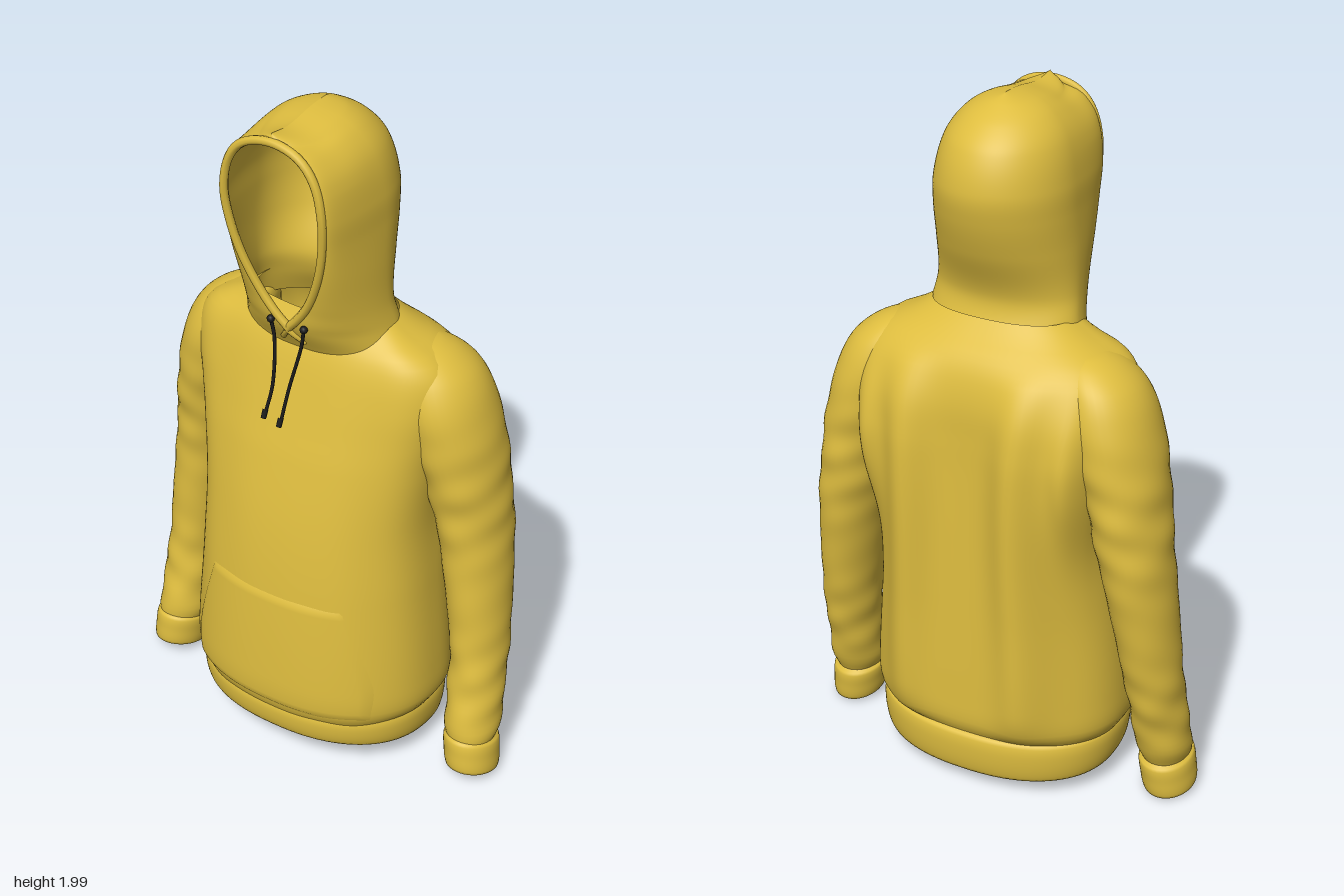
import * as THREE from 'three';

const yellow = new THREE.MeshStandardMaterial({ color: 0xdebd3f, side: THREE.DoubleSide });
yellow.name = 'mustard fabric';
const black = new THREE.MeshStandardMaterial({ color: 0x1b1b1b });
black.name = 'black cord';

// Smooth interpolation through rows [key, a, b, ...] sorted by key
function at(rows, k) {
  let i = 0;
  while (i < rows.length - 2 && k > rows[i + 1][0]) i++;
  const p = rows[i], q = rows[i + 1], h = q[0] - p[0];
  const t = Math.min(1, Math.max(0, (k - p[0]) / h));
  const o = rows[Math.max(0, i - 1)], r = rows[Math.min(rows.length - 1, i + 2)];
  return p.slice(1).map((_, j) => {
    const c = j + 1;
    const m0 = (q[c] - o[c]) / (q[0] - o[0]) * h, m1 = (r[c] - p[c]) / (r[0] - p[0]) * h;
    const t2 = t * t, t3 = t2 * t;
    return (2 * t3 - 3 * t2 + 1) * p[c] + (t3 - 2 * t2 + t) * m0 + (3 * t2 - 2 * t3) * q[c] + (t3 - t2) * m1;
  });
}

// Surface grid from f(u, v) -> [x, y, z]; wrap joins the two u ends, flip reverses the faces
function surface(name, f, nu, nv, wrap, flip) {
  const pos = [], idx = [], cols = wrap ? nu : nu + 1;
  for (let j = 0; j <= nv; j++) for (let i = 0; i < cols; i++) pos.push(...f(i / nu, j / nv));
  for (let j = 0; j < nv; j++) for (let i = 0; i < nu; i++) {
    const a = j * cols + i, b = j * cols + (i + 1) % cols, c = a + cols, d = b + cols;
    if (flip) idx.push(a, b, c, b, d, c);
    else idx.push(a, c, b, b, c, d);
  }
  const g = new THREE.BufferGeometry();
  g.setAttribute('position', new THREE.Float32BufferAttribute(pos, 3));
  g.setIndex(idx);
  g.computeVertexNormals();
  const mesh = new THREE.Mesh(g, yellow);
  mesh.name = name;
  return mesh;
}

function tube(name, points, radius, material) {
  const curve = new THREE.CatmullRomCurve3(points.map(p => new THREE.Vector3(...p)));
  const mesh = new THREE.Mesh(new THREE.TubeGeometry(curve, 80, radius, 8), material);
  mesh.name = name;
  return mesh;
}

const spow = (v, e) => Math.sign(v) * Math.pow(Math.abs(v), e);
const bump = (x, c, w) => Math.exp(-(((x - c) / w) ** 2));

// Torso: height, half width, front z, back depth, depth of the back folds
const TORSO = [
  [0.17, 0.362, 0.29, 0.25, 0], [0.21, 0.384, 0.305, 0.268, 0.02], [0.3, 0.385, 0.308, 0.27, 0.04],
  [0.6, 0.362, 0.287, 0.262, 0.056], [0.8, 0.352, 0.262, 0.255, 0.064], [1.0, 0.37, 0.222, 0.248, 0.066],
  [1.1, 0.385, 0.196, 0.246, 0.06], [1.2, 0.4, 0.17, 0.243, 0.042], [1.28, 0.39, 0.148, 0.226, 0.02],
  [1.33, 0.35, 0.13, 0.2, 0], [1.37, 0.27, 0.11, 0.16, 0], [1.41, 0.208, 0.09, 0.125, 0],
];
const POWER = 2.3;
function torsoPoint(u, v) {
  const y = 0.17 + 1.24 * v, a = u * Math.PI * 2;
  const [w, front, back, fold] = at(TORSO, y);
  const chest = bump(y, 1.05, 0.27), sin = Math.sin(a);
  const x = w * spow(Math.cos(a), 2 / POWER);
  // the upper back is squarer and carries a second fold beside each armhole
  const s = spow(sin, 2 / (POWER + (sin < 0 ? 1.7 * chest : 0)));
  let z = s * (s > 0 ? front : back);
  if (s < 0) {
    const ridges = bump(Math.abs(x), 0.18 + 0.01 * Math.sin(y * 5), 0.075) + chest * bump(Math.abs(x), 0.315, 0.06);
    z -= fold * ridges * Math.min(1, -s * 2);
  } else z += 0.004 * Math.sin(x * 30 + y * 4) * s * (1 - s) * 4;
  return [x, y, z];
}
function torsoFront(x, y) {
  const [w, front] = at(TORSO, y);
  return front * Math.pow(1 - Math.pow(Math.min(1, Math.abs(x) / w), POWER), 1 / POWER);
}

// Hem band: lower at the back, slightly rolled, with a turned-in lower edge
const HEM = [[0, -0.016, 0.03], [0.08, -0.004, 0], [0.5, 0.007, 0.5], [0.92, 0.003, 0.95], [1, -0.014, 1.02]];
function hemPoint(u, v) {
  const a = u * Math.PI * 2, [out, h] = at(HEM, v);
  const s = spow(Math.sin(a), 2 / POWER);
  const z = s * ((s > 0 ? 0.289 : 0.262) + out);
  const low = 0.075 + 0.09 * z;
  return [(0.362 + out) * spow(Math.cos(a), 2 / POWER), low + (0.185 + 0.02 * z - low) * h, z];
}

// Sleeve: height, centre x, centre z, half width, half depth
const SLEEVE = [
  [0.12, 0.515, 0.015, 0.066, 0.078], [0.16, 0.512, 0.006, 0.078, 0.09], [0.22, 0.508, -0.008, 0.079, 0.09],
  [0.4, 0.495, -0.045, 0.081, 0.098], [0.6, 0.473, -0.065, 0.09, 0.114], [0.8, 0.445, -0.078, 0.1, 0.13],
  [1.0, 0.408, -0.07, 0.113, 0.147], [1.1, 0.382, -0.064, 0.121, 0.154], [1.2, 0.352, -0.058, 0.122, 0.15],
  [1.27, 0.328, -0.055, 0.11, 0.13], [1.315, 0.302, -0.052, 0.088, 0.1], [1.345, 0.28, -0.05, 0.05, 0.055],
  [1.355, 0.27, -0.05, 0.004, 0.004],
];
function sleevePoint(u, v) {
  const y = 0.12 + 1.235 * Math.sin(v * Math.PI / 2), a = u * Math.PI * 2;
  const [cx, cz, rx, rz] = at(SLEEVE, y);
  // diagonal cloth wrinkles, strongest at wrist and elbow
  const amp = 0.045 * bump(y, 0.3, 0.17) + 0.03 * bump(y, 0.9, 0.2);
  const k = 1 + amp * (Math.sin(y * 52 + 2 * a) * 0.6 + Math.sin(y * 31 - 3 * a) * 0.5);
  return [cx + rx * k * Math.cos(a), y, cz + rz * k * Math.sin(a)];
}

// Cuff: rolled band that droops toward the back
const CUFF = [[0, -0.012], [0.06, 0], [0.5, 0.004], [0.92, 0.002], [1, -0.012]];
function cuffPoint(u, v) {
  const a = u * Math.PI * 2, [out] = at(CUFF, v);
  const z = 0.024 - 0.01 * v + (0.086 + out) * Math.sin(a);
  return [0.527 - 0.013 * v + (0.074 + out) * Math.cos(a), 0.018 + 0.117 * v + 0.2 * (z - 0.015), z];
}

// Hood: height, half width, front z, widest z, back z
const HOOD = [
  [1.32, 0.24, 0.135, 0.0, -0.165], [1.4, 0.222, 0.178, 0.0, -0.118], [1.47, 0.211, 0.19, 0.02, -0.108],
  [1.6, 0.206, 0.214, 0.03, -0.16], [1.7, 0.201, 0.23, 0.02, -0.19], [1.78, 0.196, 0.242, 0.02, -0.198],
  [1.88, 0.173, 0.247, 0.03, -0.168], [1.94, 0.135, 0.248, 0.04, -0.115], [1.98, 0.078, 0.246, 0.05, -0.05],
  [2.0, 0, 0.24, 0.06, 0.0],
];
// Half width of the face opening by height
const OPENING = [
  [1.4, 0], [1.44, 0.035], [1.5, 0.075], [1.6, 0.118], [1.7, 0.142], [1.8, 0.149],
  [1.88, 0.134], [1.93, 0.104], [1.957, 0.065], [1.97, 0],
];
const opening = y => (y <= 1.4 || y >= 1.97 ? 0 : Math.max(0, at(OPENING, y)[0]));
function hoodPoint(u, v) {
  const y = 1.32 + 0.68 * Math.sin(v * Math.PI / 2), a = u * Math.PI * 2;
  const [w, front, mid, back] = at(HOOD, y);
  const o = Math.min(opening(y), w), s = Math.sin(a), c = Math.cos(a);
  const side = u < 0.5 ? 1 : -1;
  const x = c > 0 ? side * (o + (w - o) * Math.pow(Math.abs(s), 0.85)) : w * s;
  const z = mid + c * (c > 0 ? front - mid : mid - back);
  // shallow dip behind the front edge of the crown
  const dip = 0.016 * bump(z, 0.17, 0.08) * Math.max(0, (y - 1.85) / 0.15);
  return [x, y - dip, z];
}

export function createModel() {
  const model = new THREE.Group();
  model.name = 'hoodie';
  model.add(surface('torso', torsoPoint, 128, 70, true));
  model.add(surface('hemBand', hemPoint, 96, 14, true));
  model.add(surface('hood', hoodPoint, 96, 90, false, true));

  // Rolled edge of the face opening
  const rim = [];
  for (const [y, o] of OPENING) rim.push([o, y, at(HOOD, y)[1]]);
  for (const [y, o] of OPENING.slice(1, -1).reverse()) rim.push([-o, y, at(HOOD, y)[1]]);
  rim.push(rim[0]);
  model.add(tube('hoodRim', rim, 0.012, yellow));

  // Crossed overlap below the opening
  for (const s of [1, -1]) model.add(tube('neckOverlap',
    [[s * 0.04, 1.45, 0.186], [0, 1.395, 0.18], [-s * 0.035, 1.35, 0.15]], 0.008, yellow));

  // Kangaroo pocket following the torso front
  const pocketWidth = [[0.2, 0.3], [0.33, 0.3], [0.59, 0.22]];
  model.add(surface('pocket', (u, v) => {
    const y = 0.2 + 0.39 * v, x = (2 * u - 1) * at(pocketWidth, y)[0];
    const edge = u === 0 || u === 1 || v === 0 || v === 1;
    return [x, y, torsoFront(x, y) + (edge ? -0.003 : 0.005)];
  }, 40, 24, false, true));

  // Sleeves with cuffs, mirrored
  for (const s of [1, -1]) {
    const arm = new THREE.Group();
    arm.name = s > 0 ? 'leftSleeve' : 'rightSleeve';
    arm.add(surface('sleeve', sleevePoint, 40, 110, true), surface('cuff', cuffPoint, 40, 14, true));
    arm.scale.x = s;
    model.add(arm);
  }

  // Drawstrings with tips
  const cords = [
    [[-0.05, 1.415, 0.187], [-0.042, 1.36, 0.183], [-0.04, 1.22, 0.196], [-0.055, 1.13, 0.21]],
    [[0.055, 1.415, 0.187], [0.045, 1.36, 0.183], [0.012, 1.22, 0.196], [-0.005, 1.12, 0.21]],
  ];
  for (const c of cords) {
    const [x, y, z] = c[3];
    model.add(tube('drawstring', c, 0.005, black));
    model.add(tube('drawstringTip', [[x, y + 0.01, z], [x - 0.002, y - 0.015, z + 0.008]], 0.008, black));
    const eyelet = new THREE.Mesh(new THREE.SphereGeometry(0.011, 12, 8), black);
    eyelet.position.set(...c[0]);
    eyelet.name = 'eyelet';
    model.add(eyelet);
  }
  return model;
}
